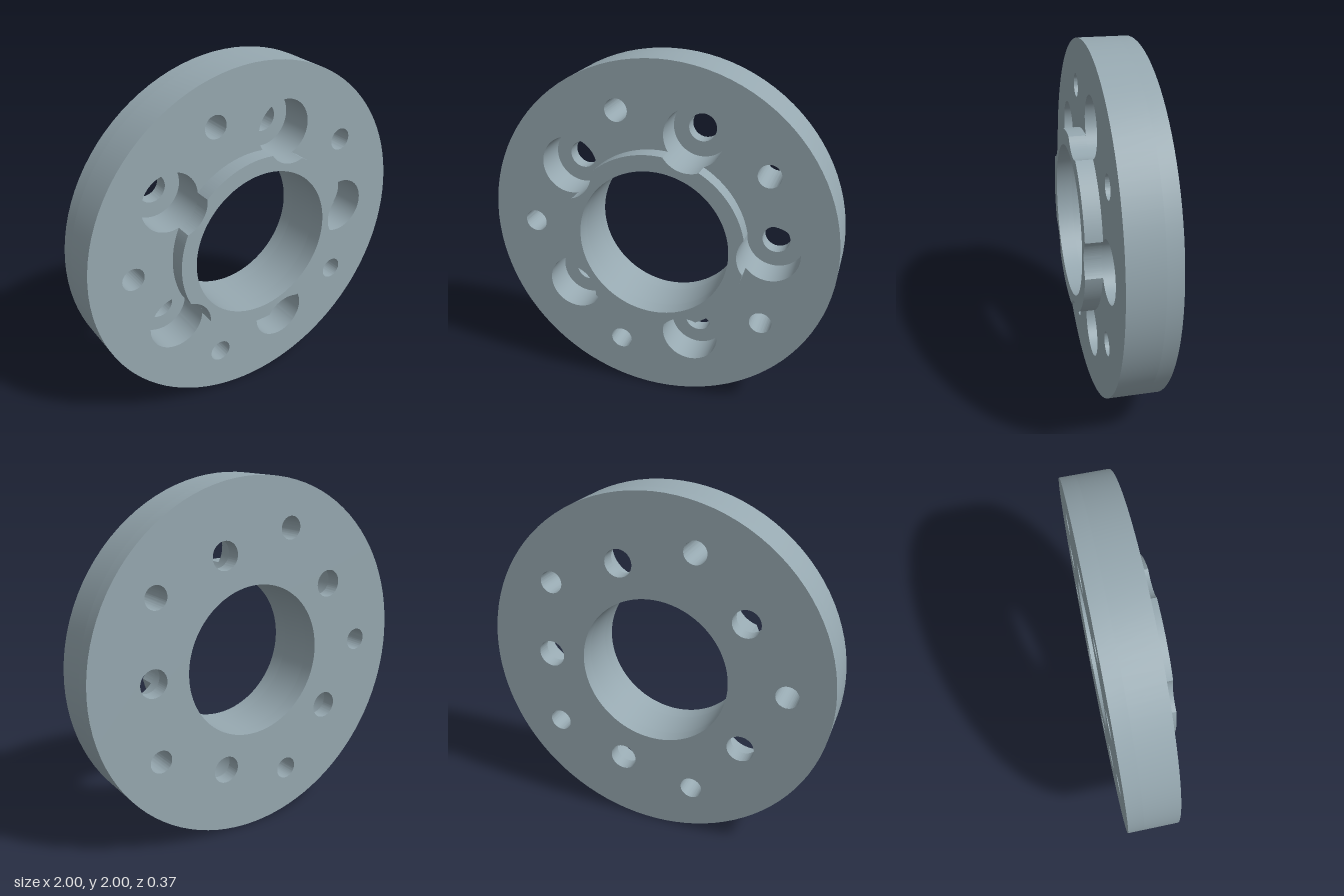
import * as THREE from 'three';
import { toCreasedNormals } from 'three/addons/utils/BufferGeometryUtils.js';

const OUTER = 1, BORE = 0.428, COLLAR = 0.518;
const BOLT_CIRCLE = 0.635, BOLT = 0.078, COUNTERBORE = 0.164;
const PIN_CIRCLE = 0.75, PIN = 0.064;
const BACK = -0.183, FLOOR = -0.1, FACE = 0.09, FRONT = 0.183;
const COUNT = 5, STEP = (Math.PI * 2) / COUNT;

const material = new THREE.MeshStandardMaterial({ color: 0x96a8b0 });

function addHole(shape, x, y, radius) {
  const path = new THREE.Path();
  path.absarc(x, y, radius, 0, Math.PI * 2, true);
  shape.holes.push(path);
}

function addHoleCircle(shape, distance, radius, startAngle) {
  for (let i = 0; i < COUNT; i++) {
    const a = startAngle + i * STEP;
    addHole(shape, distance * Math.cos(a), distance * Math.sin(a), radius);
  }
}

// Disc outline with the bore, the bolt holes and the smaller holes between them
function discShape(boltRadius) {
  const shape = new THREE.Shape();
  shape.absarc(0, 0, OUTER, 0, Math.PI * 2, false);
  addHole(shape, 0, 0, BORE);
  addHoleCircle(shape, BOLT_CIRCLE, boltRadius, 0);
  addHoleCircle(shape, PIN_CIRCLE, PIN, STEP / 2);
  return shape;
}

// Ring outline notched where the counterbores cut into it
function collarShape() {
  const a = Math.acos((COLLAR ** 2 + BOLT_CIRCLE ** 2 - COUNTERBORE ** 2) / (2 * COLLAR * BOLT_CIRCLE));
  const b = Math.atan2(COLLAR * Math.sin(a), BOLT_CIRCLE - COLLAR * Math.cos(a));
  const shape = new THREE.Shape();
  for (let i = 0; i < COUNT; i++) {
    const t = (i + 1) * STEP;
    shape.absarc(0, 0, COLLAR, t - STEP + a, t - a, false);
    shape.absarc(BOLT_CIRCLE * Math.cos(t), BOLT_CIRCLE * Math.sin(t), COUNTERBORE,
      t + Math.PI + b, t + Math.PI - b, true);
  }
  addHole(shape, 0, 0, BORE);
  return shape;
}

function slab(name, shape, z0, z1) {
  const geometry = new THREE.ExtrudeGeometry(shape, { depth: z1 - z0, bevelEnabled: false, curveSegments: 48 });
  const mesh = new THREE.Mesh(toCreasedNormals(geometry, Math.PI / 6), material);
  mesh.name = name;
  mesh.position.set(0, 1, z0);
  return mesh;
}

export function createModel() {
  const group = new THREE.Group();
  group.name = 'flangeSpacer';
  group.add(
    slab('backPlate', discShape(BOLT), BACK, FLOOR),
    slab('counterboredPlate', discShape(COUNTERBORE), FLOOR, FACE),
    slab('centringCollar', collarShape(), FACE, FRONT),
  );
  return group;
}
